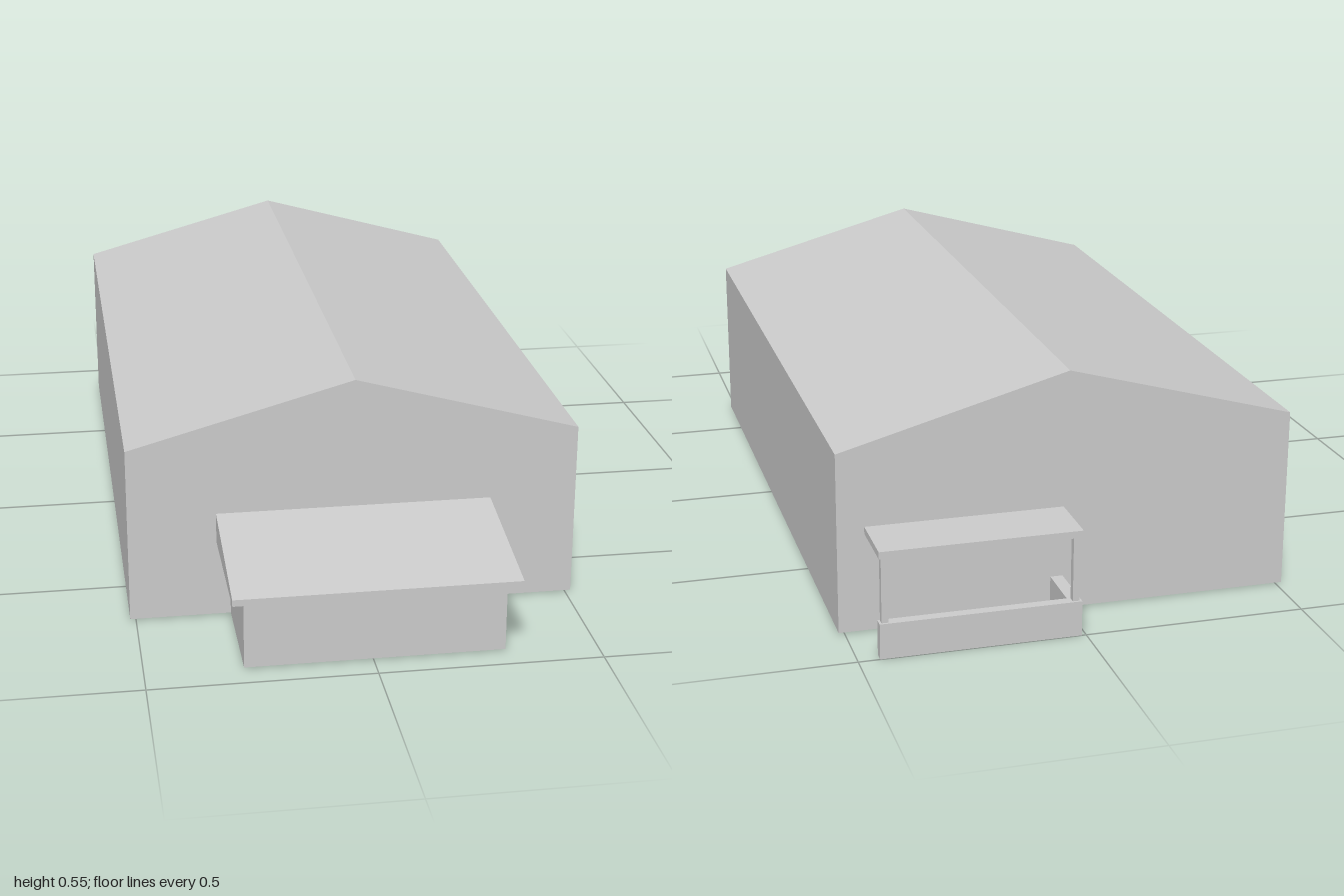
import * as THREE from 'three';

const material = new THREE.MeshStandardMaterial({ color: 0xcccccc, flatShading: true });

function add(parent, name, geometry) {
  const mesh = new THREE.Mesh(geometry, material);
  mesh.name = name;
  parent.add(mesh);
  return mesh;
}

// Box given by its min and max along each axis
function block(parent, name, [x0, x1], [y0, y1], [z0, z1]) {
  const mesh = add(parent, name, new THREE.BoxGeometry(x1 - x0, y1 - y0, z1 - z0));
  mesh.position.set((x0 + x1) / 2, (y0 + y1) / 2, (z0 + z1) / 2);
  return mesh;
}

// Closed outline extruded along +z
function prism(points, depth) {
  const shape = new THREE.Shape(points.map(([x, y]) => new THREE.Vector2(x, y)));
  return new THREE.ExtrudeGeometry(shape, { depth, bevelEnabled: false });
}

export function createModel() {
  const model = new THREE.Group();
  model.name = 'building';

  // Gabled hall
  const back = -0.86, front = 0.675;
  const hall = add(model, 'hall', prism(
    [[-0.513, 0.003], [0.513, 0.003], [0.513, 0.412], [0, 0.553], [-0.513, 0.412]], front - back));
  hall.position.z = back;

  // Front annex with a lean-to roof
  const annex = new THREE.Group();
  annex.name = 'frontAnnex';
  model.add(annex);
  block(annex, 'annexWalls', [-0.284, 0.294], [0.003, 0.185], [front, 0.938]);
  // Side profile in (z, y), turned so its outline runs along z
  const roof = prism([[front, 0.182], [1, 0.182], [1, 0.197], [front, 0.251]], 0.628);
  roof.rotateY(-Math.PI / 2);
  add(annex, 'annexRoof', roof).position.x = 0.314;

  // Back porch: parapet open on its left end, two posts and a flat roof
  const porch = new THREE.Group();
  porch.name = 'backPorch';
  model.add(porch);
  block(porch, 'parapetBack', [0.01, 0.453], [0, 0.08], [-1, -0.977]);
  block(porch, 'parapetSide', [0.01, 0.038], [0, 0.08], [-0.977, back]);
  for (const x of [0.015, 0.433]) {
    block(porch, 'porchPost', [x, x + 0.015], [0.08, 0.227], [-0.995, -0.979]);
  }
  block(porch, 'porchRoof', [0.01, 0.453], [0.227, 0.243], [-1, back]);

  return model;
}
